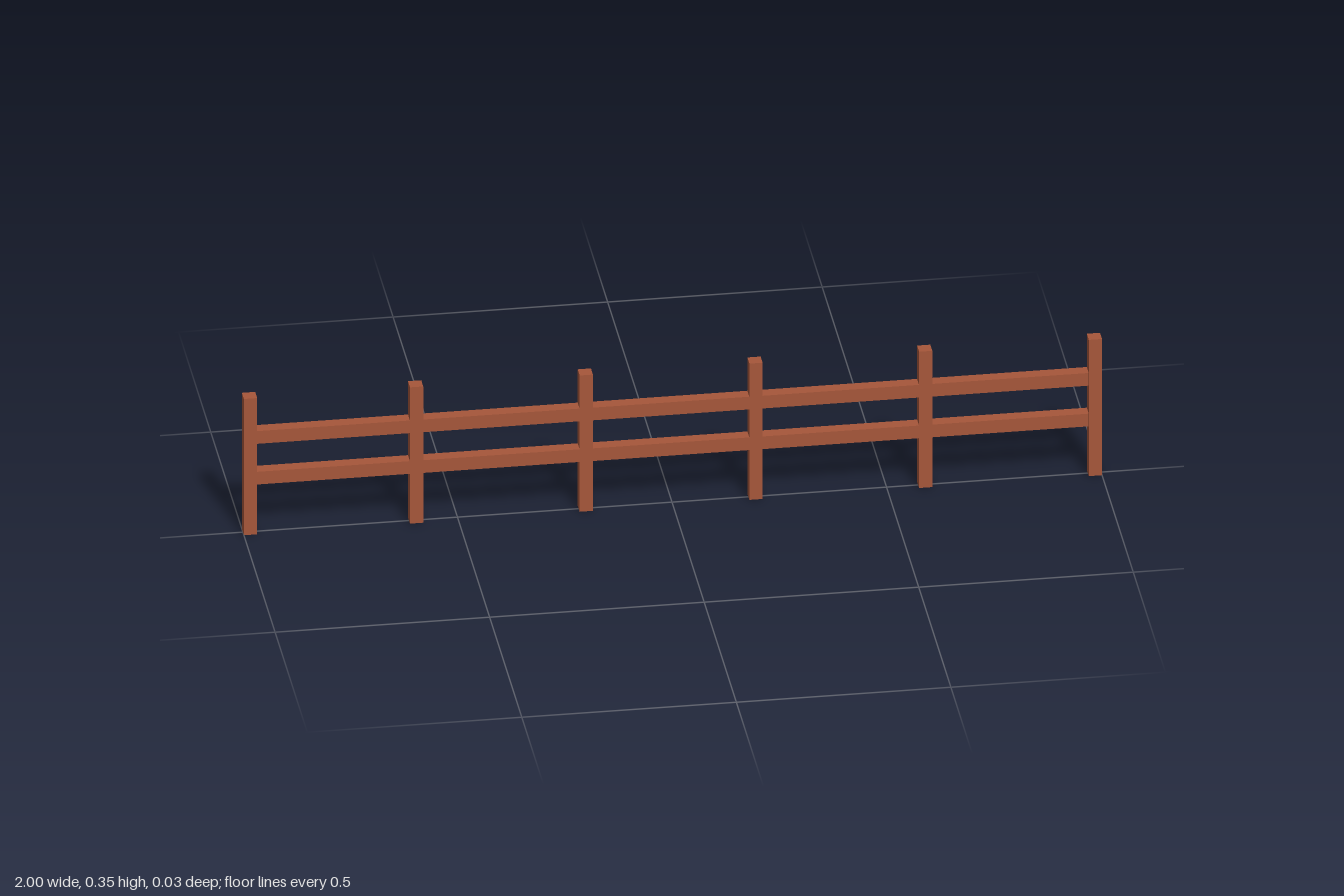
import * as THREE from 'three';

export function createModel() {
  const fence = new THREE.Group();
  fence.name = 'fence';

  const wood = new THREE.MeshStandardMaterial({ color: 0xa6563a });
  wood.name = 'reddish brown wood';

  const addBeam = (name, size, position) => {
    const beam = new THREE.Mesh(new THREE.BoxGeometry(...size), wood);
    beam.name = name;
    beam.position.set(...position);
    fence.add(beam);
  };

  const thickness = 0.031;
  const height = 0.355;
  const endX = 1 - thickness / 2;

  // Square posts; the bay at the right end is slightly shorter
  const spacing = 0.3955;
  for (let i = 0; i < 6; i++) {
    const x = i === 5 ? -endX : endX - i * spacing;
    addBeam(`post${i + 1}`, [thickness, height, thickness], [x, height / 2, 0]);
  }

  // Two horizontal rails running between the end posts
  const railLength = 2 * endX - thickness;
  addBeam('lowerRail', [railLength, 0.033, 0.03], [0, 0.146, 0]);
  addBeam('upperRail', [railLength, 0.033, 0.03], [0, 0.252, 0]);

  return fence;
}
